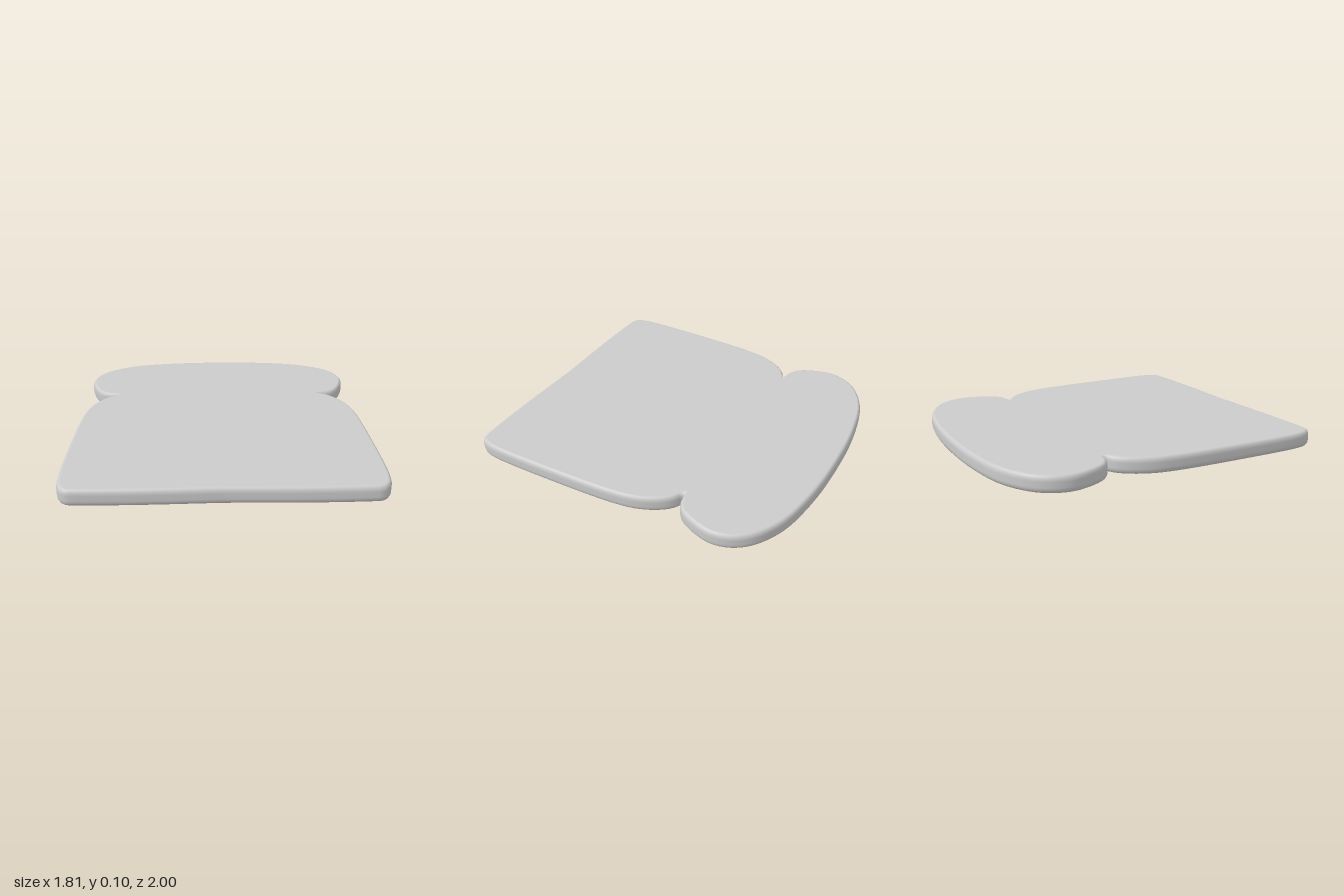
import * as THREE from 'three';
import { mergeVertices } from 'three/addons/utils/BufferGeometryUtils.js';

const HEIGHT = 0.097;
const BEVEL_HEIGHT = 0.033;
const BEVEL_INSET = 0.02;

// Smooth run of outline points through [x, z] pairs; z is flipped for the shape plane
function smoothRun(pairs, divisions) {
  const curve = new THREE.CatmullRomCurve3(pairs.map(([x, z]) => new THREE.Vector3(x, -z, 0)));
  return curve.getSpacedPoints(divisions).map((p) => new THREE.Vector2(p.x, p.y));
}

// Left half outline, from the middle of the base to the middle of the crown
function halfOutline() {
  const body = smoothRun([
    [0, 0.985], [0.5, 0.995], [0.8, 0.99], [0.845, 0.985], [0.88, 0.95], [0.9, 0.88],
    [0.902, 0.4], [0.882, 0], [0.858, -0.13], [0.81, -0.24], [0.75, -0.315], [0.685, -0.352],
  ], 70);
  const crown = smoothRun([
    [0.685, -0.352], [0.75, -0.362], [0.81, -0.4], [0.86, -0.49], [0.89, -0.62], [0.865, -0.73],
    [0.8, -0.82], [0.7, -0.89], [0.58, -0.94], [0.4, -0.975], [0.2, -0.995], [0, -1],
  ], 50);
  return [...body, ...crown.slice(1)];
}

export function createModel() {
  const group = new THREE.Group();
  group.name = 'breadSlice';

  // Mirror the half outline into a closed slice shape
  const half = halfOutline();
  const mirrored = half.slice(1, -1).reverse().map((p) => new THREE.Vector2(-p.x, p.y));
  const shape = new THREE.Shape([...half, ...mirrored]);

  // Thin slab with a rounded rim, laid flat on the ground
  let geometry = new THREE.ExtrudeGeometry(shape, {
    depth: HEIGHT - 2 * BEVEL_HEIGHT,
    bevelThickness: BEVEL_HEIGHT,
    bevelSize: BEVEL_INSET,
    bevelOffset: -BEVEL_INSET,
    bevelSegments: 5,
  });
  geometry.translate(0, 0, BEVEL_HEIGHT);
  geometry.rotateX(-Math.PI / 2);

  // Weld the corners so the rim shades smoothly into the faces
  geometry.deleteAttribute('normal');
  geometry.deleteAttribute('uv');
  geometry = mergeVertices(geometry, 1e-5);
  geometry.computeVertexNormals();

  const slice = new THREE.Mesh(geometry, new THREE.MeshStandardMaterial({ color: 0xcccccc }));
  slice.name = 'slice';
  group.add(slice);
  return group;
}
